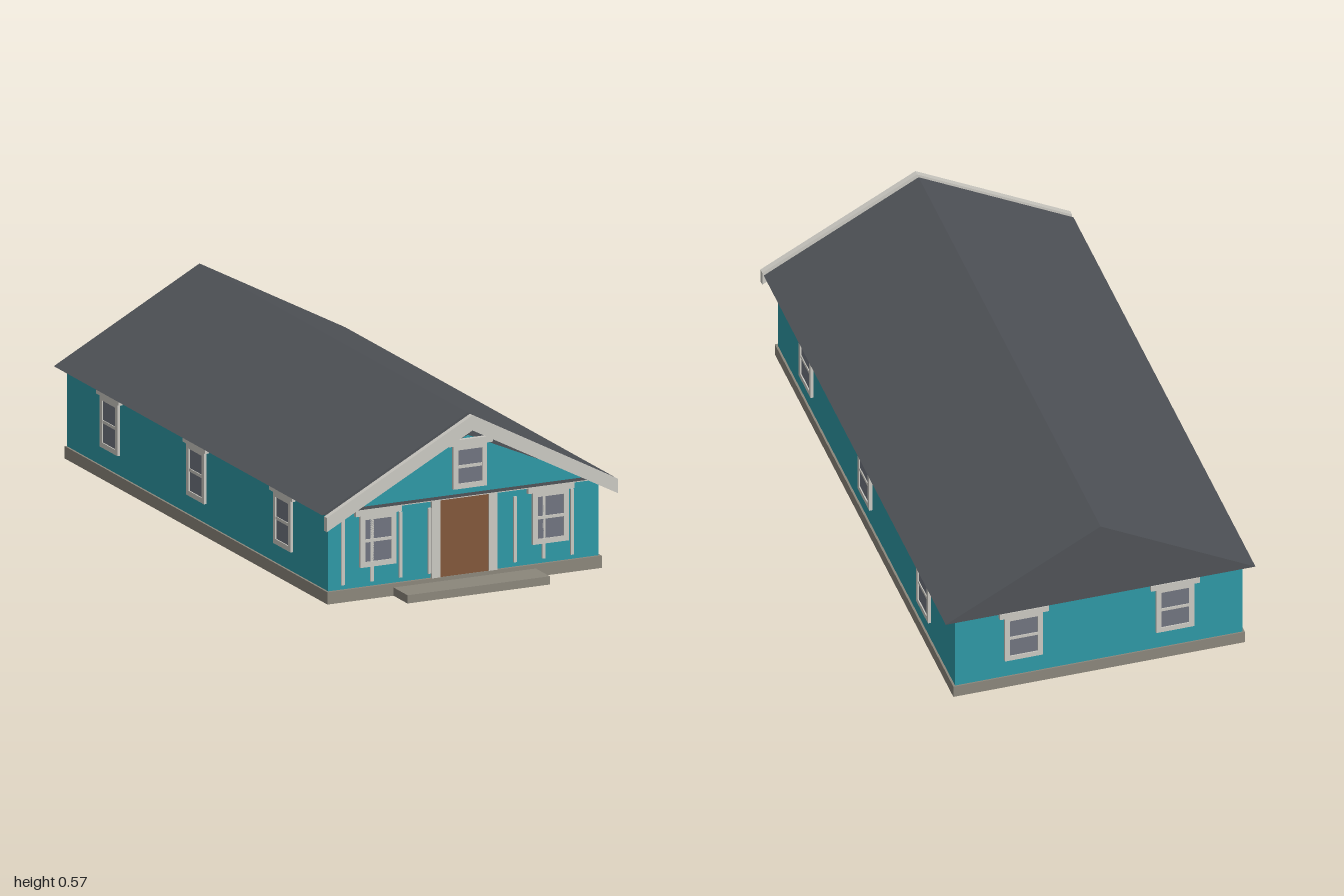
import * as THREE from 'three';

const paint = (name, color) => {
  const m = new THREE.MeshStandardMaterial({ color });
  m.name = name;
  return m;
};

export function createModel() {
  const house = new THREE.Group();
  house.name = 'house';
  const teal = paint('teal siding', 0x2e98a5);
  const trim = paint('pale trim', 0xcac8c1);
  const slate = paint('dark roofing', 0x4f5257);
  const stone = paint('foundation stone', 0x8b867b);
  const wood = paint('door wood', 0x82573b);
  const glass = paint('window glass', 0x70747f);

  // Box given by its minimum and maximum on each axis
  const box = (name, mat, x0, x1, y0, y1, z0, z1, parent = house) => {
    const m = new THREE.Mesh(new THREE.BoxGeometry(x1 - x0, y1 - y0, z1 - z0), mat);
    m.position.set((x0 + x1) / 2, (y0 + y1) / 2, (z0 + z1) / 2);
    m.name = name;
    parent.add(m);
    return m;
  };

  // Front outline extruded from z0 to z1
  const slab = (name, mat, points, z0, z1) => {
    const shape = new THREE.Shape(points.map(([x, y]) => new THREE.Vector2(x, y)));
    const g = new THREE.ExtrudeGeometry(shape, { depth: z1 - z0, bevelEnabled: false });
    const m = new THREE.Mesh(g.translate(0, 0, z0), mat);
    m.name = name;
    house.add(m);
  };

  // Sash window with head board, facing +z, its base at the local origin
  const addWindow = (name, x, y, z, turn, w = 0.126, h = 0.172) => {
    const g = new THREE.Group();
    g.name = name;
    const r = w / 2, b = 0.017, d = 0.01;
    box('leftJamb', trim, r - b, r, 0, h, 0, d, g);
    box('rightJamb', trim, -r, -r + b, 0, h, 0, d, g);
    box('sill', trim, -r + b, r - b, 0, b, 0, d, g);
    box('topRail', trim, -r + b, r - b, h - b, h, 0, d, g);
    box('meetingRail', trim, -r + b, r - b, h / 2 - 0.005, h / 2 + 0.005, 0, 0.009, g);
    box('glass', glass, -r + b, r - b, b, h - b, 0, 0.006, g);
    box('headBoard', trim, -r - 0.018, r + 0.018, h - 0.002, h + 0.018, 0, 0.014, g);
    g.position.set(x, y, z);
    g.rotation.y = turn;
    house.add(g);
  };

  // Foundation, step and walls
  box('foundation', stone, -0.482, 0.482, 0, 0.04, -0.985, 0.9);
  box('frontStep', stone, -0.25, 0.25, 0, 0.027, 0.9, 1);
  box('walls', teal, -0.475, 0.475, 0.04, 0.3, -0.98, 0.89);
  box('frieze', trim, -0.48, 0.48, 0.293, 0.302, -0.985, 0.903);

  // Roof, gable panel and barge boards
  slab('roof', slate, [[-0.512, 0.302], [0.512, 0.302], [0, 0.575]], -1, 0.922);
  slab('gablePanel', teal, [[-0.42, 0.315], [0.42, 0.315], [0, 0.502]], 0.922, 0.931);
  slab('bargeBoards', trim, [[-0.512, 0.255], [0, 0.525], [0.512, 0.255],
    [0.512, 0.302], [0, 0.575], [-0.512, 0.302]], 0.937, 0.956);

  // Door with casing
  box('door', wood, -0.085, 0.085, 0.04, 0.294, 0.89, 0.898);
  for (const s of [-1, 1]) {
    box('doorCasing', trim, s * 0.1 - 0.015, s * 0.1 + 0.015, 0.04, 0.294, 0.89, 0.901);
  }

  // Vertical battens on the front wall
  for (const x of [-0.425, -0.323, -0.222, -0.12, 0.18, 0.281, 0.381]) {
    box('batten', trim, x - 0.0055, x + 0.0055, 0.055, 0.27, 0.89, 0.896);
  }

  // Windows on all four sides and in the gable
  for (const s of [-1, 1]) {
    addWindow('frontWindow', s * 0.303, 0.105, 0.89, 0);
    addWindow('backWindow', s * 0.25, 0.105, -0.98, Math.PI);
    for (const z of [0.577, -0.043, -0.663]) {
      addWindow('sideWindow', s * 0.475, 0.105, z, s * Math.PI / 2);
    }
  }
  addWindow('gableWindow', 0, 0.334, 0.931, 0, 0.118, 0.144);

  return house;
}
